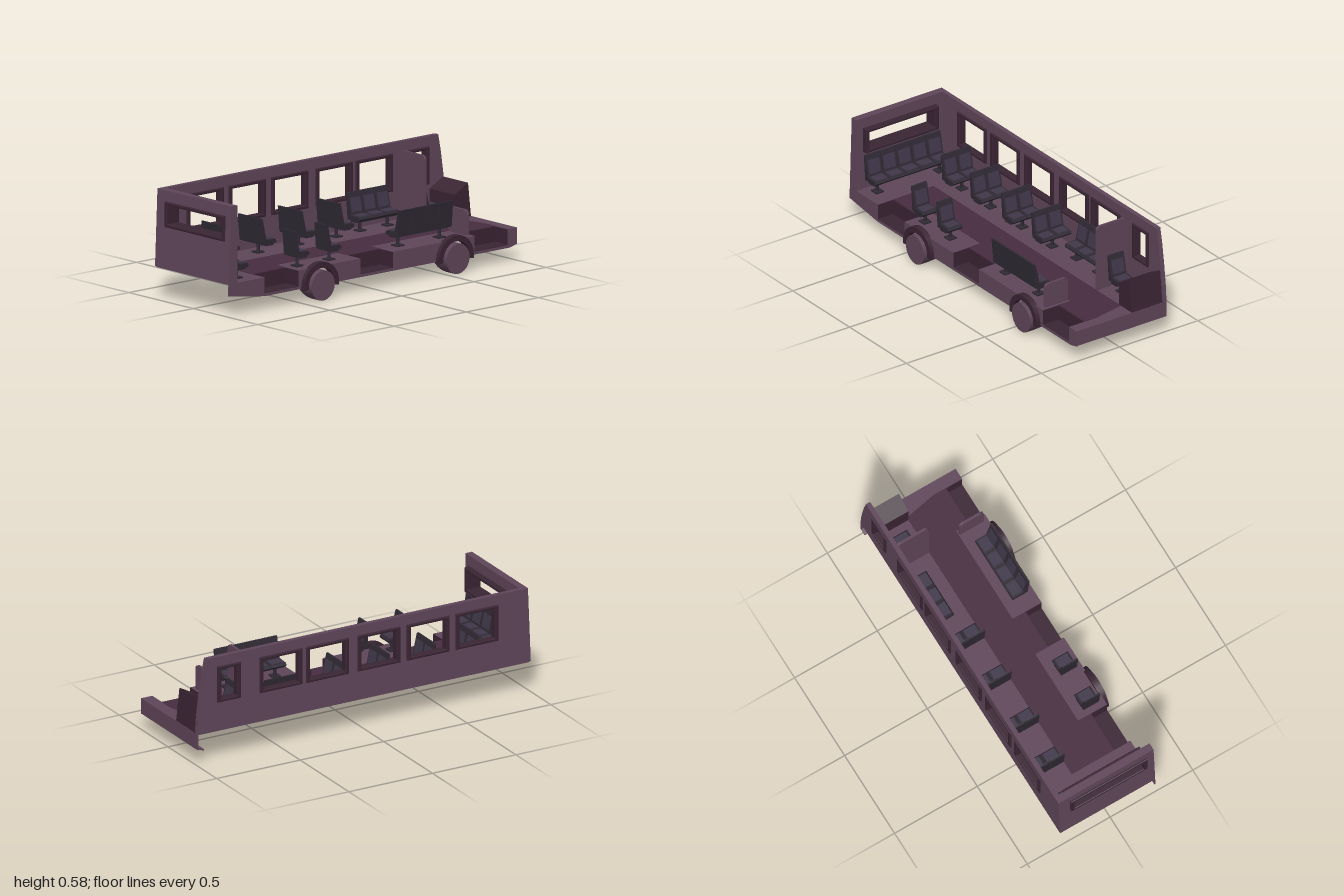
import * as THREE from 'three';

const BODY = 0x60465a, AISLE = 0x472c40, DARK = 0x3a2533, SEAT = 0x302a34, CUSHION = 0x40374a;
const FLOOR = 0.175;
const WELLS = [[-0.75, -0.515], [-0.087, 0.14], [0.705, 0.935]];
const WHEELS = [-0.375, 0.56];

function part(parent, name, geo, color, x = 0, y = 0, z = 0) {
  const mesh = new THREE.Mesh(geo, new THREE.MeshStandardMaterial({ color }));
  mesh.name = name;
  mesh.position.set(x, y, z);
  parent.add(mesh);
  return mesh;
}
const poly = pts => new THREE.Shape(pts.map(p => new THREE.Vector2(...p)));
const rectPts = (cx, cy, w, h) => [
  [cx - w / 2, cy - h / 2], [cx + w / 2, cy - h / 2], [cx + w / 2, cy + h / 2], [cx - w / 2, cy + h / 2]];
const extrude = (shape, depth) =>
  new THREE.ExtrudeGeometry(shape, { depth, bevelEnabled: false, curveSegments: 16 });
const box = (w, h, d) => new THREE.BoxGeometry(w, h, d);

// window frame with bevelled edges, lying in the xy plane
function frameGeo(cx, cy, w, h, depth) {
  const b = 0.005;
  const s = poly(rectPts(cx, cy, w - 2 * b, h - 2 * b));
  s.holes.push(poly(rectPts(cx, cy, w - 0.045 + 2 * b, h - 0.035 + 2 * b)));
  return new THREE.ExtrudeGeometry(s, {
    depth: depth - 2 * b, bevelSize: b, bevelThickness: b, bevelSegments: 2 }).translate(0, 0, b);
}

// upright panel across the bus with rounded top corners
function panelGeo(z0, z1, top, r, thick) {
  const s = new THREE.Shape();
  s.moveTo(z0, FLOOR);
  s.lineTo(z1, FLOOR);
  s.lineTo(z1, top - r);
  s.absarc(z1 - r, top - r, r, 0, Math.PI / 2, false);
  s.lineTo(z0 + r, top);
  s.absarc(z0 + r, top - r, r, Math.PI / 2, Math.PI, false);
  s.closePath();
  return extrude(s, thick).rotateY(-Math.PI / 2);
}

// row of seats facing local +x, with the back at x = 0
function addSeats(parent, name, n, pitch, x, z, turn = 0) {
  const g = new THREE.Group();
  g.name = name;
  g.position.set(x, 0, z);
  g.rotation.y = turn;
  const profile = poly([[0, 0.375], [0.012, 0.235], [0.1, 0.235], [0.106, 0.245],
    [0.1, 0.256], [0.036, 0.26], [0.01, 0.375]]);
  const w = pitch * 0.97;
  for (let i = 0; i < n; i++) {
    const cz = (i - (n - 1) / 2) * pitch;
    part(g, 'seatShell', extrude(profile, w), SEAT, 0, 0, cz - w / 2);
    part(g, 'backCushion', box(0.008, 0.075, w * 0.76), CUSHION, 0.0245, 0.31, cz).rotation.z = 0.22;
    part(g, 'seatCushion', box(0.056, 0.008, w * 0.76), CUSHION, 0.068, 0.258, cz);
  }
  // joining rail and pedestals
  part(g, 'seatRail', box(0.05, 0.012, n * pitch * 0.98), SEAT, 0.06, 0.232, 0);
  const off = n * pitch / 2 - 0.045;
  for (const cz of n > 2 ? [-off, off] : [0]) {
    part(g, 'pedestal', new THREE.CylinderGeometry(0.009, 0.009, 0.055, 10), SEAT, 0.06, 0.205, cz);
    part(g, 'pedestalFoot', box(0.048, 0.008, 0.048), SEAT, 0.06, FLOOR + 0.004, cz);
  }
  parent.add(g);
}

export function createModel() {
  const bus = new THREE.Group();
  bus.name = 'cutawayBus';

  // long side wall with window openings and frames
  const wall = poly([[-0.997, FLOOR], [1, FLOOR], [0.993, 0.27], [0.98, 0.38], [0.962, 0.5],
    [0.945, 0.585], [-0.98, 0.585]]);
  const windows = [-0.674, -0.382, -0.086, 0.222, 0.5].map(x => [x, 0.255]).concat([[0.81, 0.14]]);
  for (const [x, w] of windows) {
    wall.holes.push(poly(rectPts(x, 0.43, w - 0.03, 0.175)));
    part(bus, 'sideWindowFrame', frameGeo(x, 0.43, w, 0.2, 0.042), DARK, 0, 0, -0.308);
  }
  part(bus, 'sideWall', extrude(wall, 0.025), BODY, 0, 0, -0.3);

  // rear wall, its outer face leaning inward toward the top
  const rear = poly([[-0.3, FLOOR], [0.275, FLOOR], [0.275, 0.585], [-0.3, 0.585]]);
  rear.holes.push(poly(rectPts(0, 0.46, 0.44, 0.11)));
  const rearGeo = extrude(rear, 0.04).rotateY(-Math.PI / 2).translate(-0.94, 0, 0);
  const p = rearGeo.attributes.position;
  for (let i = 0; i < p.count; i++)
    if (p.getX(i) < -0.96) p.setX(i, -0.997 + (p.getY(i) - FLOOR) * 0.041);
  rearGeo.computeVertexNormals();
  part(bus, 'rearWall', rearGeo, BODY);
  part(bus, 'rearWindowFrame', frameGeo(0, 0.46, 0.465, 0.135, 0.087).rotateY(-Math.PI / 2), DARK, -0.908);

  // floor with notches for the door steps
  const floorPts = [[-0.99, -0.298], [0.997, -0.298], [0.997, 0.272]];
  for (const [a, b] of [...WELLS].reverse()) floorPts.push([b, 0.272], [b, 0.175], [a, 0.175], [a, 0.272]);
  floorPts.push([-0.99, 0.272]);
  part(bus, 'floor', extrude(poly(floorPts), 0.006).rotateX(Math.PI / 2), BODY, 0, FLOOR);

  // darker aisle reaching out to each door
  const aislePts = [[-0.75, -0.08], [0.9, -0.08], [0.935, 0.1]];
  for (const [a, b] of [...WELLS].reverse()) aislePts.push([b, 0.1], [b, 0.175], [a, 0.175], [a, 0.1]);
  part(bus, 'aisle', extrude(poly(aislePts), 0.009).rotateX(Math.PI / 2), AISLE, 0, FLOOR + 0.0015);

  // door step wells
  for (const [a, b] of WELLS) {
    const g = new THREE.Group();
    g.name = 'stepWell';
    const c = (a + b) / 2, w = b - a;
    part(g, 'stepFloor', box(w, 0.005, 0.1), DARK, c, 0.09, 0.224);
    part(g, 'stepRiser', box(w, 0.084, 0.005), DARK, c, 0.132, 0.1765);
    for (const x of [a, b]) part(g, 'stepSide', box(0.005, 0.084, 0.1), DARK, x, 0.132, 0.224);
    bus.add(g);
  }

  // lower skirt with wheel cutouts and door gaps
  const skirt = new THREE.Shape();
  skirt.moveTo(-1, 0.11);
  skirt.lineTo(-0.75, 0.075);
  for (const c of WHEELS) {
    skirt.lineTo(c - 0.09, 0.075);
    skirt.absarc(c, 0.082, 0.09, Math.PI, 0, true);
    skirt.lineTo(c + 0.09, 0.075);
  }
  skirt.lineTo(0.95, 0.075);
  skirt.lineTo(1, 0.088);
  skirt.lineTo(1, FLOOR);
  for (const [a, b] of [...WELLS].reverse())
    for (const [x, y] of [[b, FLOOR], [b, 0.09], [a, 0.09], [a, FLOOR]]) skirt.lineTo(x, y);
  skirt.lineTo(-0.997, FLOOR);
  part(bus, 'skirt', extrude(skirt, 0.006), BODY, 0, 0, 0.269);

  // front apron with a turned-in lower lip
  part(bus, 'frontApron', extrude(poly([[0.992, FLOOR], [0.992, 0.096], [0.96, 0.086], [0.96, 0.079],
    [1, 0.089], [1, FLOOR]]), 0.569), BODY, 0, 0, -0.3);

  // dashboard and partitions
  part(bus, 'dashboard', extrude(poly([[0.885, FLOOR], [0.998, FLOOR], [0.978, 0.355], [0.885, 0.305]]),
    0.195), DARK, 0, 0, -0.275);
  part(bus, 'driverPartition', panelGeo(-0.275, -0.08, 0.543, 0.025, 0.014), BODY, 0.69);
  part(bus, 'doorPartition', panelGeo(0.105, 0.25, 0.31, 0.025, 0.014), BODY, 0.69);

  // wheels with domed inner sides, and their arches
  const tyre = [[0, 0.15], [0.025, 0.157], [0.045, 0.167], [0.06, 0.183], [0.071, 0.205], [0.078, 0.23],
    [0.08, 0.255], [0.08, 0.31]].map(q => new THREE.Vector2(...q));
  const tyreGeo = new THREE.LatheGeometry(tyre, 32).rotateX(Math.PI / 2);
  const arch = new THREE.Shape();
  arch.absarc(0, 0, 0.121, -0.14, Math.PI + 0.14, false);
  arch.absarc(0, 0, 0.09, Math.PI + 0.14, -0.14, true);
  for (const x of WHEELS) {
    part(bus, 'wheel', tyreGeo, BODY, x, 0.0805, 0);
    part(bus, 'wheelFace', new THREE.CircleGeometry(0.08, 32), BODY, x, 0.0805, 0.31);
    part(bus, 'wheelArch', extrude(arch, 0.033), DARK, x, 0.082, 0.265);
  }

  // seating
  addSeats(bus, 'rearBench', 5, 0.097, -0.93, -0.007);
  for (const x of [-0.7, -0.447, -0.17, 0.095]) addSeats(bus, 'doubleSeat', 2, 0.0925, x, -0.182);
  for (const x of [-0.51, -0.288]) addSeats(bus, 'singleSeat', 1, 0.098, x, 0.19);
  addSeats(bus, 'driverSeat', 1, 0.1, 0.715, -0.177);
  addSeats(bus, 'doorSideBench', 4, 0.0945, 0.397, 0.245, Math.PI / 2);
  addSeats(bus, 'wallSideBench', 3, 0.0935, 0.435, -0.265, -Math.PI / 2);
  return bus;
}
